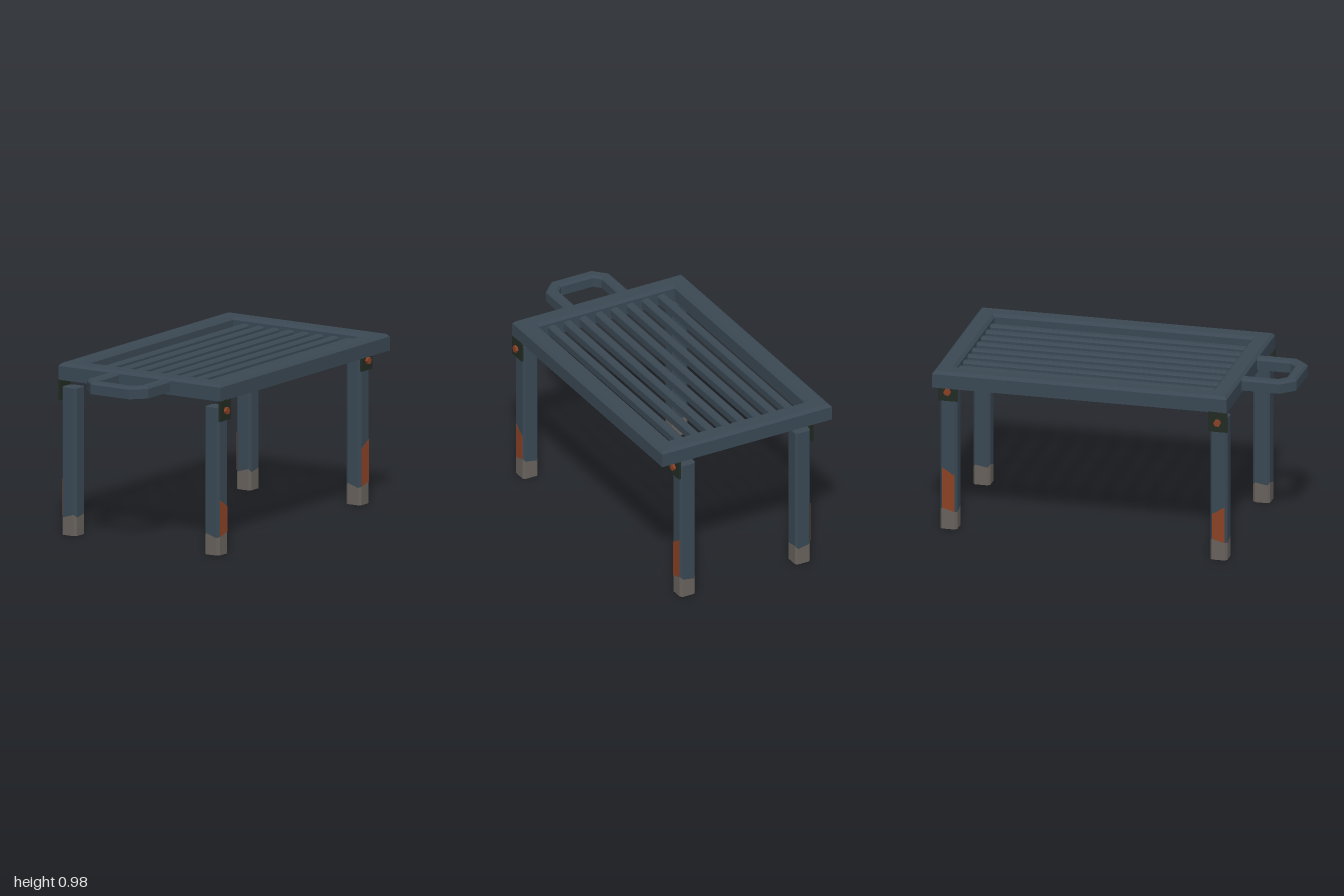
import * as THREE from 'three';

const mat = (name, color) => {
  const m = new THREE.MeshStandardMaterial({ color });
  m.name = name;
  return m;
};

// Skin a row of equal-sized loops with flat faces; open rows get end caps.
function loft(loops, closed = false) {
  const pos = [];
  const tri = (a, b, c) => pos.push(...a, ...b, ...c);
  const n = loops[0].length;
  const spans = closed ? loops.length : loops.length - 1;
  for (let i = 0; i < spans; i++) {
    const A = loops[i], B = loops[(i + 1) % loops.length];
    for (let j = 0; j < n; j++) {
      const k = (j + 1) % n;
      tri(A[j], A[k], B[k]);
      tri(A[j], B[k], B[j]);
    }
  }
  if (!closed) {
    const A = loops[0], B = loops[loops.length - 1];
    for (let j = 1; j < n - 1; j++) {
      tri(A[0], A[j + 1], A[j]);
      tri(B[0], B[j], B[j + 1]);
    }
  }
  const g = new THREE.BufferGeometry();
  g.setAttribute('position', new THREE.Float32BufferAttribute(pos, 3));
  g.computeVertexNormals();
  return g;
}

// Sweep a bar along a level path of [x, z] points with mitred corners.
function bar(path, profile, closed = false) {
  const n = path.length;
  const side = (a, b) => {
    const dx = b[0] - a[0], dz = b[1] - a[1], l = Math.hypot(dx, dz);
    return [dz / l, -dx / l];
  };
  const loops = path.map((p, i) => {
    const before = closed || i > 0 ? side(path[(i + n - 1) % n], p) : null;
    const after = closed || i < n - 1 ? side(p, path[(i + 1) % n]) : null;
    const a = before || after, b = after || before;
    const k = 1 / (1 + a[0] * b[0] + a[1] * b[1]);
    const r = [(a[0] + b[0]) * k, (a[1] + b[1]) * k];
    return profile.map(([u, y]) => [p[0] + r[0] * u, y, p[1] + r[1] * u]);
  });
  return loft(loops, closed);
}

// Bar section with chamfered top edges, counter-clockwise.
const section = (w, y0, y1, c) => [
  [-w / 2, y0], [w / 2, y0], [w / 2, y1 - c], [w / 2 - c, y1], [-w / 2 + c, y1], [-w / 2, y1 - c],
];

export function createModel() {
  const steel = mat('blue grey steel', 0x3a4853);
  const mud = mat('dried mud', 0x67615c);
  const rust = mat('rust', 0x8a4124);
  const dark = mat('dark bracket metal', 0x222b22);

  const root = new THREE.Group();
  root.name = 'slattedTable';
  const add = (parent, name, geo, material) => {
    const m = new THREE.Mesh(geo, material);
    m.name = name;
    parent.add(m);
    return m;
  };

  // Rectangular top frame
  const fx = 0.491, zb = -0.945, zf = 0.647;
  add(root, 'topFrame',
    bar([[-fx, zb], [-fx, zf], [fx, zf], [fx, zb]], section(0.11, 0.883, 0.979, 0.016), true), steel);

  // Lengthwise slats
  for (let i = 0; i < 8; i++) {
    const x = (i - 3.5) * 0.1005;
    add(root, 'slat', bar([[x, -0.9], [x, 0.6]], section(0.05, 0.9, 0.95, 0.01)), steel);
  }

  // Front handle loop
  add(root, 'handle', bar(
    [[-0.172, 0.69], [-0.172, 0.908], [-0.116, 0.966], [0.116, 0.966], [0.172, 0.908], [0.172, 0.69]],
    section(0.067, 0.9, 0.967, 0.012)), steel);

  // Legs with muddy feet, brackets, bolts and rust patches
  const h = 0.049, c = 0.036;
  const ring = [[h, c], [h, -c], [c, -h], [-c, -h], [-h, -c], [-h, c], [-c, h], [c, h]];
  const mudLine = [0.105, 0.125, 0.112, 0.1, 0.118, 0.105, 0.122, 0.1];

  const addLeg = (s, x, z, label, rustTop) => {
    const leg = new THREE.Group();
    leg.name = label;
    leg.position.set(s * x, 0, z);
    root.add(leg);
    const level = (y) => {
      const loop = ring.map(([px, pz], i) => [s * px, y ?? mudLine[i], pz]);
      return s > 0 ? loop : loop.reverse();
    };
    add(leg, 'foot', loft([level(0), level()]), mud);
    add(leg, 'legPost', loft([level(), level(0.843)]), steel);

    // Rust patch on the outer face
    const patch = new THREE.Shape([
      [-c, mudLine[0]], [c, mudLine[1]], [c, rustTop[1]], [-c, rustTop[0]],
    ].map(([u, y]) => new THREE.Vector2(s * u, y)));
    const p = add(leg, 'rustPatch', new THREE.ExtrudeGeometry(patch, { depth: 0.002, bevelEnabled: false }), rust);
    p.rotation.y = s * Math.PI / 2;
    p.position.x = s * h;

    // Bracket plate and hexagonal bolt
    const plate = add(leg, 'bracket', new THREE.BoxGeometry(0.012, 0.118, 0.11), dark);
    plate.position.set(s * 0.059, 0.827, 0);
    const bolt = add(leg, 'bolt',
      new THREE.CylinderGeometry(0.021, 0.021, 0.03, 6).toNonIndexed(), rust);
    bolt.geometry.computeVertexNormals();
    bolt.rotation.z = Math.PI / 2;
    bolt.position.set(s * 0.066, 0.824, 0);
  };
  for (const s of [1, -1]) {
    addLeg(s, 0.481, 0.65, 'frontLeg', [0.317, 0.27]);
    addLeg(s, 0.37, -0.938, 'backLeg', [0.32, 0.365]);
  }
  return root;
}
